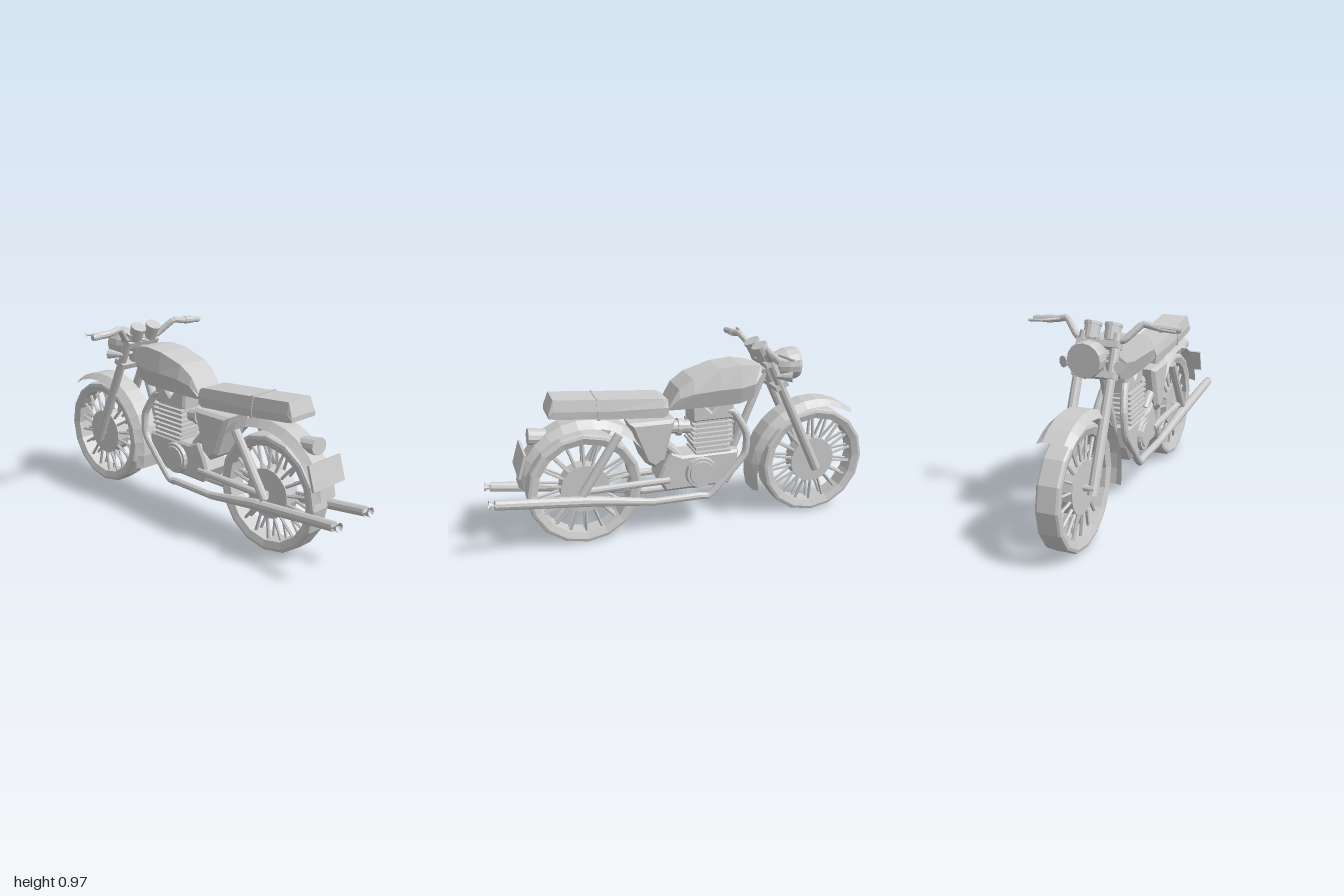
import * as THREE from 'three';

const V = (x, y, z) => new THREE.Vector3(x, y, z);
const mat = new THREE.MeshStandardMaterial({ color: 0xcccccc, flatShading: true });
const thin = new THREE.MeshStandardMaterial({ color: 0xcccccc, flatShading: true, side: THREE.DoubleSide });

function add(parent, name, geometry, x = 0, y = 0, z = 0, material = mat) {
  const m = new THREE.Mesh(geometry, material);
  m.name = name;
  m.position.set(x, y, z);
  parent.add(m);
  return m;
}

// Straight round bar from a to b
function rod(parent, name, a, b, r1, r2 = r1, sides = 10) {
  const d = b.clone().sub(a);
  const m = add(parent, name, new THREE.CylinderGeometry(r2, r1, d.length(), sides));
  m.position.copy(a).add(b).multiplyScalar(0.5);
  m.quaternion.setFromUnitVectors(V(0, 1, 0), d.normalize());
  return m;
}

// Bent round pipe through points
function pipe(parent, name, pts, r, steps = 24) {
  const curve = new THREE.CatmullRomCurve3(pts, false, 'catmullrom', 0.25);
  return add(parent, name, new THREE.TubeGeometry(curve, steps, r, 10), 0, 0, 0, thin);
}

// Side-view outline extruded symmetrically across z
function slab(parent, name, pts, half, bevel = 0.012) {
  const g = new THREE.ExtrudeGeometry(new THREE.Shape(pts.map(p => new THREE.Vector2(...p))), {
    depth: 2 * (half - bevel), bevelEnabled: bevel > 0, bevelSize: bevel, bevelOffset: -bevel,
    bevelThickness: bevel, bevelSegments: 1 });
  return add(parent, name, g.translate(0, 0, bevel - half));
}

// Closed body from hexagonal sections [x, top, middle, bottom, halfTop, halfMiddle, halfBottom]
function loft(parent, name, sections) {
  const pos = [], idx = [], n = 6, last = (sections.length - 1) * n;
  for (const [x, t, m, b, wt, wm, wb] of sections)
    pos.push(x, t, -wt, x, t, wt, x, m, wm, x, b, wb, x, b, -wb, x, m, -wm);
  for (let s = 0; s < last; s += n)
    for (let k = 0; k < n; k++) {
      const a = s + k, b = s + (k + 1) % n;
      idx.push(a, b, a + n, b, b + n, a + n);
    }
  for (let k = 1; k < n - 1; k++) idx.push(0, k + 1, k, last, last + k, last + k + 1);
  const g = new THREE.BufferGeometry();
  g.setAttribute('position', new THREE.Float32BufferAttribute(pos, 3));
  g.setIndex(idx);
  g.computeVertexNormals();
  return add(parent, name, g);
}

// Arched mudguard swept about a wheel centre, angles in degrees
function fender(parent, name, cx, from, to, radiusAt, half) {
  const steps = 12, pos = [], idx = [];
  for (let i = 0; i <= steps; i++) {
    const t = i / steps, a = THREE.MathUtils.degToRad(from + (to - from) * t);
    const lip = 0.02 + 0.018 * Math.sin(Math.PI * t);
    for (const [dr, z] of [[-lip, -half], [0, -half * 0.6], [0, half * 0.6], [-lip, half]]) {
      const r = radiusAt(t) + dr;
      pos.push(cx + r * Math.cos(a), 0.297 + r * Math.sin(a), z);
    }
    if (i < steps) for (let k = 0; k < 3; k++) {
      const p = i * 4 + k;
      idx.push(p, p + 4, p + 1, p + 1, p + 4, p + 5);
    }
  }
  const g = new THREE.BufferGeometry();
  g.setAttribute('position', new THREE.Float32BufferAttribute(pos, 3));
  g.setIndex(idx);
  g.computeVertexNormals();
  add(parent, name, g, 0, 0, 0, thin);
}

function wheel(parent, name, x) {
  const w = new THREE.Group();
  w.name = name;
  w.position.set(x, 0.297, 0);
  parent.add(w);
  const profile = [[0.237, -0.045], [0.27, -0.056], [0.284, -0.052], [0.289, -0.042], [0.289, 0.042],
    [0.284, 0.052], [0.27, 0.056], [0.237, 0.045], [0.237, -0.045]].map(p => new THREE.Vector2(...p));
  add(w, 'tire', new THREE.LatheGeometry(profile, 16).rotateX(Math.PI / 2));
  add(w, 'hub', new THREE.CylinderGeometry(0.123, 0.123, 0.08, 18).rotateX(Math.PI / 2));
  rod(w, 'axle', V(0, 0, -0.09), V(0, 0, 0.09), 0.015);
  for (let i = 0; i < 18; i++) {
    const a = (i + 0.5) * Math.PI / 9, c = Math.cos(a), s = Math.sin(a);
    for (const k of [-1, 1])
      rod(w, 'spoke', V(c * 0.115, s * 0.115, k * 0.03), V(c * 0.245, s * 0.245, k * 0.018), 0.008, 0.008, 5);
  }
}

export function createModel() {
  const g = new THREE.Group();
  g.name = 'motorcycle';

  // Wheels and mudguards
  wheel(g, 'frontWheel', -0.711);
  wheel(g, 'rearWheel', 0.524);
  fender(g, 'frontFender', -0.711, 127, -20, t => 0.342 + 0.026 * t * t, 0.083);
  fender(g, 'rearFender', 0.524, 160, 10, t => 0.368 - 0.04 * t * t * t, 0.08);

  // Tank and seat
  loft(g, 'fuelTank', [
    [-0.385, 0.85, 0.81, 0.77, 0.055, 0.075, 0.055], [-0.345, 0.86, 0.77, 0.69, 0.075, 0.098, 0.07],
    [-0.27, 0.872, 0.76, 0.672, 0.085, 0.11, 0.08], [-0.16, 0.862, 0.76, 0.67, 0.087, 0.112, 0.082],
    [-0.02, 0.822, 0.75, 0.67, 0.083, 0.105, 0.08], [0.05, 0.775, 0.73, 0.67, 0.078, 0.092, 0.077],
    [0.105, 0.685, 0.677, 0.67, 0.07, 0.078, 0.07]]);
  loft(g, 'seat', [
    [0.105, 0.725, 0.69, 0.65, 0.072, 0.084, 0.08], [0.13, 0.735, 0.69, 0.64, 0.075, 0.086, 0.082],
    [0.4, 0.757, 0.7, 0.66, 0.075, 0.086, 0.082], [0.665, 0.78, 0.725, 0.688, 0.074, 0.085, 0.082],
    [0.69, 0.715, 0.705, 0.692, 0.08, 0.084, 0.08]]);
  loft(g, 'seatStrap', [
    [0.445, 0.765, 0.707, 0.66, 0.078, 0.09, 0.085], [0.46, 0.767, 0.708, 0.661, 0.078, 0.09, 0.085]]);

  // Frame
  rod(g, 'headStock', V(-0.485, 0.74, 0), V(-0.415, 0.89, 0), 0.032);
  rod(g, 'backbone', V(-0.45, 0.83, 0), V(-0.3, 0.8, 0), 0.03);
  rod(g, 'seatRail', V(0.0, 0.68, 0), V(0.45, 0.67, 0), 0.025);
  pipe(g, 'downTube', [V(-0.435, 0.82, 0), V(-0.27, 0.42, 0), V(-0.2, 0.28, 0), V(-0.1, 0.25, 0)], 0.02);
  for (const [y, x] of [[0.745, -0.487], [0.87, -0.428]])
    add(g, 'forkClamp', new THREE.BoxGeometry(0.07, 0.03, 0.2), x, y, 0).rotation.z = -0.44;

  // Engine
  slab(g, 'crankcase', [[-0.27, 0.42], [-0.27, 0.32], [-0.22, 0.24], [0.12, 0.24], [0.158, 0.31], [0.13, 0.38],
    [0.09, 0.45], [0.03, 0.42]], 0.075);
  slab(g, 'cylinderHead', [[-0.245, 0.585], [-0.025, 0.585], [-0.02, 0.68], [-0.085, 0.68], [-0.13, 0.635],
    [-0.175, 0.68], [-0.25, 0.68]], 0.06);
  add(g, 'cylinderBarrel', new THREE.BoxGeometry(0.17, 0.2, 0.11), -0.132, 0.49, 0);
  for (let i = 0; i < 7; i++)
    add(g, 'coolingFin', new THREE.BoxGeometry(0.215 - (i < 2 ? 0.03 : 0), 0.012, 0.15), -0.132, 0.425 + i * 0.025, 0);
  rod(g, 'carburettor', V(-0.03, 0.55, 0), V(0.1, 0.56, 0), 0.035, 0.035, 12);
  rod(g, 'carburettorRing', V(0.02, 0.553, 0), V(0.04, 0.555, 0), 0.045, 0.045, 12);

  // Side panels as one wide body
  slab(g, 'sidePanel', [[0.068, 0.622], [0.302, 0.622], [0.225, 0.41], [0.175, 0.375], [0.125, 0.41]], 0.085, 0.018);

  // Lamps and plate
  const lamp = [[0, 0], [0.035, 0.005], [0.062, 0.04], [0.078, 0.085], [0.083, 0.14], [0.078, 0.155], [0, 0.155]];
  add(g, 'headlight', new THREE.LatheGeometry(lamp.map(p => new THREE.Vector2(...p)), 16).rotateZ(Math.PI / 2),
    -0.45, 0.836, 0);
  const tail = add(g, 'tailLight', new THREE.CylinderGeometry(0.04, 0.036, 0.085, 12).rotateZ(-Math.PI / 2), 0.742, 0.585, 0);
  tail.scale.z = 1.25;
  tail.rotation.z = 0.1;
  add(g, 'tailLightMount', new THREE.BoxGeometry(0.06, 0.06, 0.05), 0.71, 0.58, 0);
  add(g, 'numberPlate', new THREE.BoxGeometry(0.012, 0.12, 0.22), 0.83, 0.478, 0).rotation.z = 0.29;

  // Handlebar
  const bar = [[-0.355, 0.945, 0.35], [-0.36, 0.952, 0.24], [-0.365, 0.962, 0.185], [-0.395, 0.92, 0.14],
    [-0.415, 0.89, 0.1]];
  pipe(g, 'handlebar', [...bar.map(p => V(...p)), ...bar.slice().reverse().map(([x, y, z]) => V(x, y, -z))], 0.016, 48);

  // Parts on both sides
  for (const k of [-1, 1]) {
    rod(g, 'forkLeg', V(-0.712, 0.265, k * 0.08), V(-0.405, 0.92, k * 0.08), 0.025, 0.022);
    rod(g, 'grip', V(-0.355, 0.945, k * 0.36), V(-0.36, 0.95, k * 0.26), 0.014, 0.02);
    pipe(g, 'lever', [V(-0.418, 0.95, k * 0.355), V(-0.405, 0.952, k * 0.28), V(-0.365, 0.957, k * 0.21)], 0.007, 8);
    rod(g, 'gauge', V(-0.41, 0.885, k * 0.05), V(-0.375, 0.955, k * 0.05), 0.035, 0.038, 14);
    rod(g, 'gaugeRim', V(-0.381, 0.943, k * 0.05), V(-0.375, 0.955, k * 0.05), 0.041, 0.041, 14);
    rod(g, 'indicator', V(-0.455, 0.8, k * 0.1), V(-0.525, 0.8, k * 0.135), 0.01, 0.027);
    rod(g, 'indicatorStalk', V(-0.46, 0.8, 0), V(-0.46, 0.8, k * 0.105), 0.01);
    rod(g, 'shockAbsorber', V(0.55, 0.285, k * 0.085), V(0.358, 0.58, k * 0.085), 0.022);
    rod(g, 'swingArm', V(0.1, 0.3, k * 0.07), V(0.55, 0.297, k * 0.07), 0.018);
    pipe(g, 'exhaustPipe', [V(-0.2, 0.63, k * 0.04), V(-0.25, 0.62, k * 0.05), V(-0.31, 0.51, k * 0.07),
      V(-0.3, 0.39, k * 0.075), V(-0.12, 0.195, k * 0.075), V(-0.06, 0.193, k * 0.075), V(0.2, 0.195, k * 0.077)], 0.019, 40);
    rod(g, 'mufflerCone', V(0.19, 0.195, k * 0.077), V(0.52, 0.255, k * 0.095), 0.019, 0.027);
    // Silencer with a hollow end
    rod(g, 'muffler', V(0.51, 0.253, k * 0.095), V(0.97, 0.306, k * 0.113), 0.027, 0.024);
    pipe(g, 'mufflerTip', [V(0.95, 0.304, k * 0.112), V(0.998, 0.309, k * 0.114)], 0.023, 1);
    // Engine covers
    rod(g, 'engineCover', V(-0.065, 0.325, k * 0.06), V(-0.065, 0.325, k * 0.092), 0.088, 0.078, 18);
    rod(g, 'coverCap', V(-0.065, 0.325, k * 0.09), V(-0.065, 0.325, k * 0.098), 0.066, 0.062, 18);
    rod(g, 'breather', V(0.05, 0.42, k * 0.04), V(0.13, 0.5, k * 0.05), 0.025);
  }
  return g;
}
